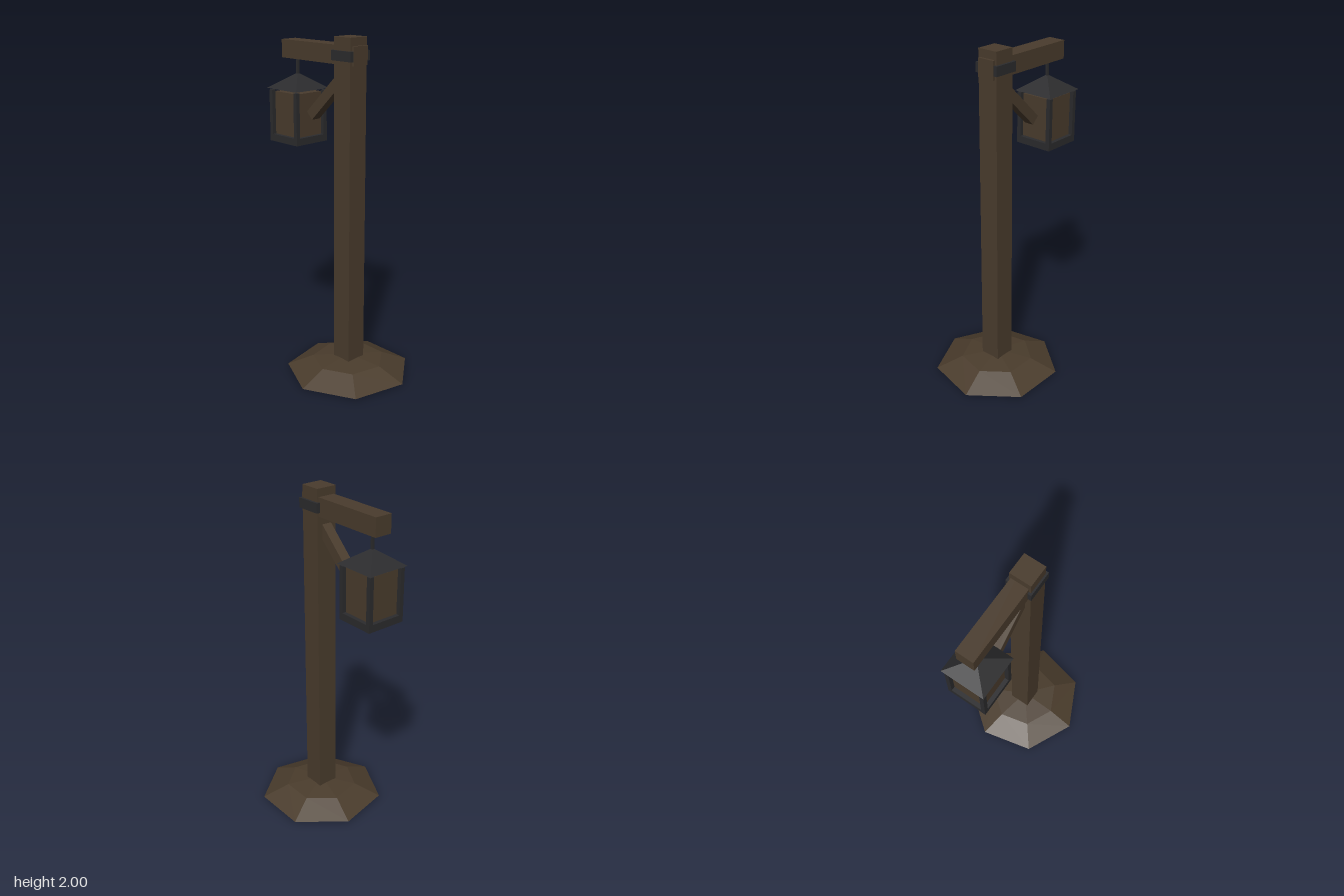
import * as THREE from 'three';

export function createModel() {
  const model = new THREE.Group();
  model.name = 'lanternPost';
  const wood = new THREE.MeshStandardMaterial({ color: 0x4a3c2d, flatShading: true });
  wood.name = 'dark brown wood';
  const earth = new THREE.MeshStandardMaterial({ color: 0x4a3c2c, flatShading: true, side: THREE.DoubleSide });
  earth.name = 'brown earth';
  const metal = new THREE.MeshStandardMaterial({ color: 0x2b2b2d, flatShading: true });
  metal.name = 'dark iron';

  const add = (name, geometry, material, x, y, z, parent = model) => {
    const mesh = new THREE.Mesh(geometry, material);
    mesh.name = name;
    mesh.position.set(x, y, z);
    parent.add(mesh);
    return mesh;
  };
  const box = (w, h, d) => new THREE.BoxGeometry(w, h, d);
  const postX = 0.096, midZ = -0.018;

  // Seven-sided mound, open underneath
  const profile = [[0.375, 0.01], [0.216, 0.08], [0, 0.105]].map(([r, y]) => new THREE.Vector2(r, y));
  add('mound', new THREE.LatheGeometry(profile, 7), earth, postX, 0, midZ);

  // Post, crossbeam and iron band
  add('post', box(0.126, 2, 0.126), wood, postX, 1, midZ);
  add('crossbeam', box(0.591, 0.105, 0.105), wood, -0.12, 1.902, -0.02);
  add('ironBand', box(0.151, 0.055, 0.15), metal, postX, 1.9, -0.02);

  // Diagonal brace
  const brace = add('brace', box(0.4, 0.06, 0.06), wood, -0.06, 1.67, midZ);
  brace.rotation.z = 0.765;

  // Hanging lantern
  const lantern = new THREE.Group();
  lantern.name = 'lantern';
  lantern.position.set(-0.337, 0, -0.019);
  model.add(lantern);
  add('hangingRod', box(0.014, 0.12, 0.014), metal, 0, 1.8, 0, lantern);
  const roof = new THREE.ConeGeometry(0.129 * Math.SQRT2, 0.09, 4);
  roof.rotateY(Math.PI / 4);
  add('lanternRoof', roof, metal, 0, 1.719, 0, lantern);
  add('lanternBase', box(0.238, 0.042, 0.238), metal, 0, 1.381, 0, lantern);
  add('lanternPanes', box(0.19, 0.255, 0.19), wood, 0, 1.528, 0, lantern);
  for (const sx of [-1, 1]) {
    for (const sz of [-1, 1]) {
      add('lanternCornerBar', box(0.025, 0.27, 0.025), metal, sx * 0.1065, 1.53, sz * 0.1065, lantern);
    }
  }
  return model;
}
